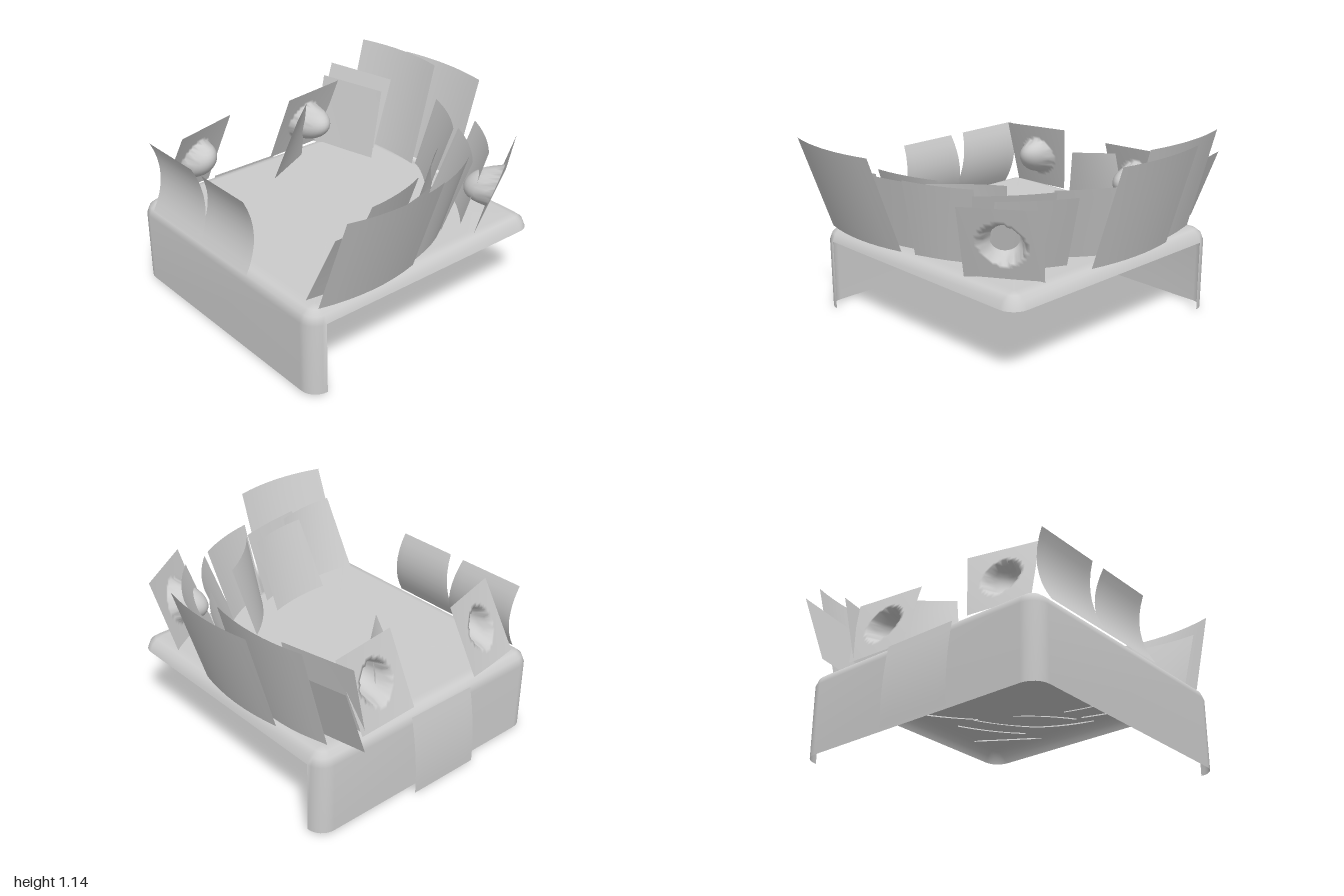
import * as THREE from 'three';

const grey = new THREE.MeshStandardMaterial({ color: 0xcccccc, side: THREE.DoubleSide });

function sheet(name, positions, index) {
  const g = new THREE.BufferGeometry();
  g.setAttribute('position', new THREE.Float32BufferAttribute(positions, 3));
  g.setIndex(index);
  g.computeVertexNormals();
  const m = new THREE.Mesh(g, grey);
  m.name = name;
  return m;
}

// Leaning card from the ends of its bottom and top edges, each [x, z].
// bow curves it sideways, fold curves it upwards, dent pushes a cup out of its middle.
function card(name, b0, b1, t0, t1, { y0 = 0.52, y1 = 0.96, bow = 0, fold = 0, dent = 0 } = {}) {
  const N = dent ? 24 : 8, pos = [], idx = [];
  const n = new THREE.Vector2(b0[1] - b1[1], b1[0] - b0[0]).normalize();
  const lerp = THREE.MathUtils.lerp;
  for (let j = 0; j <= N; j++) {
    for (let i = 0; i <= N; i++) {
      const u = i / N, v = j / N;
      const r = Math.hypot(u - 0.5, v - 0.5) / 0.26;
      const cup = r < 1 ? Math.sqrt(1 - r * r) * dent : 0;
      const d = 4 * u * (1 - u) * bow + 4 * v * (1 - v) * fold + cup;
      pos.push(
        lerp(lerp(b0[0], b1[0], u), lerp(t0[0], t1[0], u), v) + n.x * d,
        lerp(y0, y1, v),
        lerp(lerp(b0[1], b1[1], u), lerp(t0[1], t1[1], u), v) + n.y * d);
      if (i < N && j < N) {
        const a = j * (N + 1) + i, c = a + N + 1;
        idx.push(a, a + 1, c + 1, a, c + 1, c);
      }
    }
  }
  return sheet(name, pos, idx);
}

// Outline of the block, inset from its edge; starts at the front corner on +x
function outline(inset) {
  const corners = [[0.77, 0.92, 1, 1], [-0.88, 0.92, -1, 1], [-0.88, -0.73, -1, -1], [0.77, -0.73, 1, -1]];
  const r = 0.1, S = 6, pts = [];
  corners.forEach(([x, z, sx, sz], k) => {
    for (let i = 0; i <= S; i++) {
      const a = (k + i / S) * Math.PI / 2;
      pts.push([x - sx * r + Math.cos(a) * (r - inset), z - sz * r + Math.sin(a) * (r - inset)]);
    }
  });
  return pts;
}

// Block shell: top with a rounded rim, walls only at the front and on the -x side
function ground() {
  const rings = [[0.095, 0.53], [0.05, 0.52], [0.018, 0.495], [0, 0.45], [0, 0.02]];
  const pos = [-0.055, 0.52, 0.095], idx = [], M = 28, wallEnd = 20;
  rings.forEach(([inset, y]) => outline(inset).forEach(([x, z]) => pos.push(x, y, z)));
  for (let i = 0; i < M; i++) idx.push(0, 1 + (i + 1) % M, 1 + i);
  for (let k = 0; k < rings.length - 1; k++) {
    const last = k === rings.length - 2 ? wallEnd : M;
    for (let i = 0; i < last; i++) {
      const a = 1 + k * M + i, b = 1 + k * M + (i + 1) % M;
      idx.push(a, b, b + M, a, b + M, a + M);
    }
  }
  return sheet('block', pos, idx);
}

export function createModel() {
  const model = new THREE.Group();
  model.name = 'cardRingedBlock';
  model.add(ground());

  // Cards along the back, leaning outwards
  const back = new THREE.Group();
  back.name = 'backCards';
  back.add(
    card('tallBackCard', [-0.8, -0.61], [-0.17, -0.64], [-0.81, -0.785], [-0.17, -0.815], { y1: 1.15, bow: -0.04 }),
    card('tallBackCard', [-0.49, -0.7], [0.14, -0.69], [-0.5, -0.885], [0.14, -0.89], { y1: 1.13, bow: -0.035 }),
    card('cornerCard', [-0.975, -0.51], [-0.5, -0.61], [-1, -0.67], [-0.52, -0.77], { y0: 0.53 }),
    card('innerCornerCard', [-0.85, -0.39], [-0.4, -0.5], [-0.86, -0.49], [-0.41, -0.59])
  );

  // Cards in a sweep along the +x side: bottom ends, top ends, options
  const sweep = [
    [[-0.17, -0.67], [0.21, -0.4], [-0.1, -0.77], [0.28, -0.54], { bow: -0.02 }],
    [[0.21, -0.57], [0.58, -0.32], [0.28, -0.72], [0.64, -0.46], { bow: -0.02 }],
    [[0.2, -0.43], [0.56, -0.18], [0.29, -0.57], [0.66, -0.31], { bow: -0.02 }],
    [[0.47, -0.66], [0.71, -0.29], [0.58, -0.755], [0.84, -0.38], { dent: 0.18 }],
    [[0.31, -0.2], [0.6, 0.07], [0.4, -0.3], [0.69, 0.03], { bow: 0.02 }],
    [[0.54, -0.2], [0.69, 0.14], [0.64, -0.3], [0.8, 0.1], { y1: 0.99, bow: -0.02 }],
    [[0.46, 0.08], [0.52, 0.51], [0.6, 0.04], [0.69, 0.45], { bow: -0.02 }],
    [[0.6, 0.11], [0.7, 0.5], [0.72, 0.06], [0.82, 0.5], { bow: -0.01 }],
    [[0.63, 0.4], [0.62, 0.84], [0.76, 0.38], [0.83, 0.81], { bow: -0.02 }],
    [[0.74, 0.2], [0.74, 0.85], [0.95, 0.2], [0.955, 0.84], { y0: 0.54, y1: 1.12, bow: -0.045 }]
  ];
  const left = new THREE.Group();
  left.name = 'leftCards';
  sweep.forEach((c) => left.add(card('sideCard', ...c)));

  // Cards on the -x side, leaning inwards, two of them cupped
  const right = new THREE.Group();
  right.name = 'rightCards';
  right.add(
    card('cuppedCard', [-0.86, -0.42], [-0.84, -0.02], [-0.73, -0.5], [-0.67, -0.06], { dent: -0.22 }),
    card('diagonalCard', [-0.73, -0.19], [-0.57, 0.15], [-0.64, -0.17], [-0.47, 0.03], { y1: 0.92 }),
    card('cuppedCard', [-0.85, 0.45], [-0.8, 0.83], [-0.73, 0.34], [-0.62, 0.75], { dent: -0.15 }),
    card('hangingCard', [-0.93, -0.07], [-0.93, 0.39], [-0.885, -0.08], [-0.885, 0.38], { y0: 0.01, y1: 0.5, fold: 0.015 })
  );

  // Two cards along the front, bent backwards at mid height
  const front = new THREE.Group();
  front.name = 'frontCards';
  front.add(
    card('frontCard', [-0.74, 0.91], [-0.24, 0.91], [-0.77, 0.88], [-0.33, 0.88], { y0: 0.5, y1: 0.92, fold: -0.06 }),
    card('frontCard', [-0.29, 0.91], [0.2, 0.91], [-0.23, 0.88], [0.16, 0.88], { y0: 0.5, y1: 0.92, fold: -0.06 })
  );

  model.add(back, left, right, front);
  return model;
}
